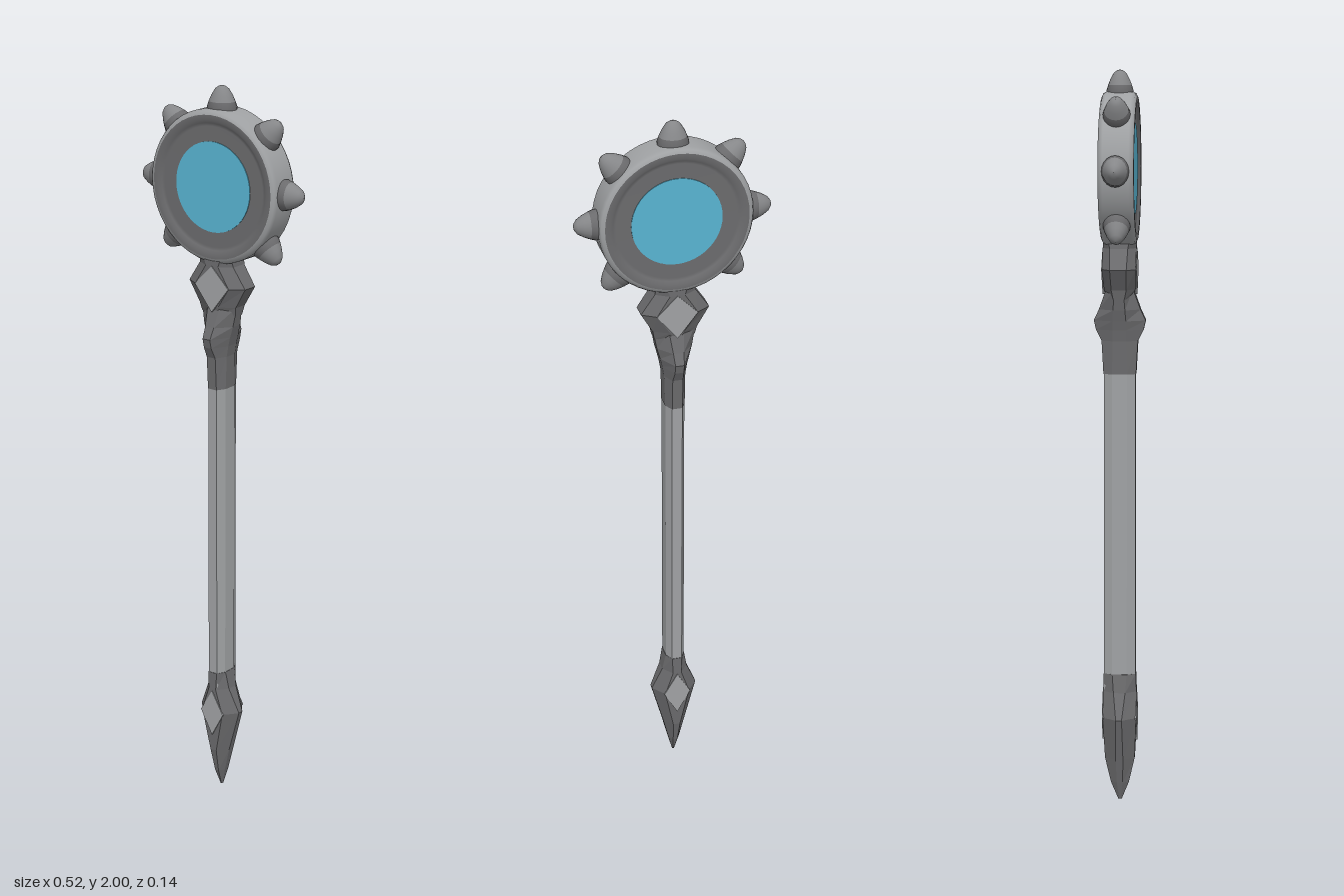
import * as THREE from 'three';

const mat = (name, color, extra = {}) => {
  const m = new THREE.MeshStandardMaterial({ color, ...extra });
  m.name = name;
  return m;
};

// Stacks eight-sided sections [y, halfX, halfZ, frontFlat, sideFlat] into a faceted solid
function loft(rows) {
  const rings = rows.map(([y, hx, hz, fx, fz]) => [
    [-hx, -fz], [-hx, fz], [-fx, hz], [fx, hz],
    [hx, fz], [hx, -fz], [fx, -hz], [-fx, -hz],
  ].map(([x, z]) => [x, y, z]));
  const pos = [];
  const tri = (...pts) => pts.forEach((p) => pos.push(...p));
  for (let r = 0; r < rings.length - 1; r++) {
    for (let i = 0; i < 8; i++) {
      const j = (i + 1) % 8, lo = rings[r], hi = rings[r + 1];
      tri(lo[i], lo[j], hi[j]);
      tri(lo[i], hi[j], hi[i]);
    }
  }
  const bottom = rings[0], top = rings[rings.length - 1];
  for (let i = 1; i < 7; i++) {
    tri(top[0], top[i], top[i + 1]);
    tri(bottom[0], bottom[i + 1], bottom[i]);
  }
  const g = new THREE.BufferGeometry();
  g.setAttribute('position', new THREE.Float32BufferAttribute(pos, 3));
  g.computeVertexNormals();
  return g;
}

// Diamond inlay running through the body, showing on front and back
function diamond(halfWidth, low, mid, high, halfDepth) {
  const s = new THREE.Shape();
  s.moveTo(0, low);
  s.lineTo(halfWidth, mid);
  s.lineTo(0, high);
  s.lineTo(-halfWidth, mid);
  const g = new THREE.ExtrudeGeometry(s, { depth: halfDepth * 2, bevelEnabled: false });
  return g.translate(0, 0, -halfDepth);
}

const lathe = (pts, sides) =>
  new THREE.LatheGeometry(pts.map(([r, y]) => new THREE.Vector2(r, y)), sides);

export function createModel() {
  const model = new THREE.Group();
  model.name = 'mace';
  const steel = mat('light steel', 0xa0a2a4, { flatShading: true });
  const rimSteel = mat('rim steel', 0xa0a2a4);
  const iron = mat('dark iron', 0x6b6b6d);
  const ironFlat = mat('dark faceted iron', 0x6b6b6d, { flatShading: true });
  const midSteel = mat('spike steel', 0x868789);
  const blue = mat('blue glass', 0x58b4d2);

  const add = (parent, name, geo, material) => {
    const m = new THREE.Mesh(geo, material);
    m.name = name;
    parent.add(m);
    return m;
  };

  // Shaft
  add(model, 'shaft', loft([
    [0.3, 0.026, 0.043, 0.014, 0.02],
    [1.25, 0.026, 0.043, 0.014, 0.02],
  ]), steel);

  // Pointed pommel
  add(model, 'pommel', loft([
    [0, 0.003, 0.005, 0.001, 0.002],
    [0.05, 0.016, 0.025, 0.006, 0.008],
    [0.12, 0.033, 0.041, 0.01, 0.01],
    [0.24, 0.065, 0.046, 0.035, 0.008],
    [0.31, 0.036, 0.046, 0.012, 0.016],
    [0.36, 0.027, 0.044, 0.014, 0.02],
  ]), ironFlat);
  add(model, 'pommelInlay', diamond(0.038, 0.17, 0.24, 0.305, 0.048), steel);

  // Neck socket with a knob front and back
  add(model, 'neck', loft([
    [1.19, 0.027, 0.044, 0.014, 0.02],
    [1.28, 0.029, 0.049, 0.014, 0.018],
    [1.31, 0.034, 0.064, 0.012, 0.018],
    [1.335, 0.04, 0.07, 0.012, 0.018],
    [1.365, 0.048, 0.056, 0.014, 0.016],
    [1.42, 0.058, 0.036, 0.02, 0.012],
  ]), ironFlat);

  // Diamond collar under the head
  add(model, 'collar', loft([
    [1.395, 0.055, 0.036, 0.008, 0.015],
    [1.42, 0.06, 0.042, 0.018, 0.02],
    [1.475, 0.092, 0.045, 0.055, 0.022],
    [1.53, 0.055, 0.045, 0.02, 0.024],
    [1.56, 0.05, 0.044, 0.03, 0.03],
  ]), ironFlat);
  add(model, 'collarInlay', diamond(0.055, 1.405, 1.475, 1.53, 0.047), steel);

  // Round head
  const head = new THREE.Group();
  head.name = 'head';
  head.position.y = 1.74;
  model.add(head);
  add(head, 'rimBand', lathe([
    [0.19, -0.047], [0.199, -0.043], [0.204, -0.034],
    [0.204, 0.034], [0.199, 0.043], [0.19, 0.047],
  ], 48).rotateX(Math.PI / 2), rimSteel);
  for (const turn of [0, Math.PI]) {
    add(head, turn ? 'backFace' : 'frontFace', lathe([
      [0.19, 0.047], [0.176, 0.047], [0.168, 0.041], [0.16, 0.039], [0, 0.039],
    ], 48).rotateX(Math.PI / 2).rotateY(turn), iron);
  }
  add(head, 'glassDisc',
    new THREE.CylinderGeometry(0.12, 0.12, 0.082, 48).rotateX(Math.PI / 2), blue);

  // Seven blunt spikes, leaving the bottom free for the neck
  for (let i = -1; i <= 5; i++) {
    const spike = new THREE.Group();
    spike.name = 'spike';
    const angle = i * Math.PI / 4;
    spike.position.set(Math.cos(angle) * 0.194, Math.sin(angle) * 0.194, 0);
    spike.rotation.z = angle - Math.PI / 2;
    spike.scale.z = 0.88;
    add(spike, 'spikeBase', lathe([[0.04, -0.01], [0.041, 0.012], [0.036, 0.026]], 20), iron);
    add(spike, 'spikeTip', lathe([
      [0.036, 0.026], [0.029, 0.042], [0.019, 0.058], [0.009, 0.065], [0, 0.067],
    ], 20), midSteel);
    head.add(spike);
  }

  return model;
}
